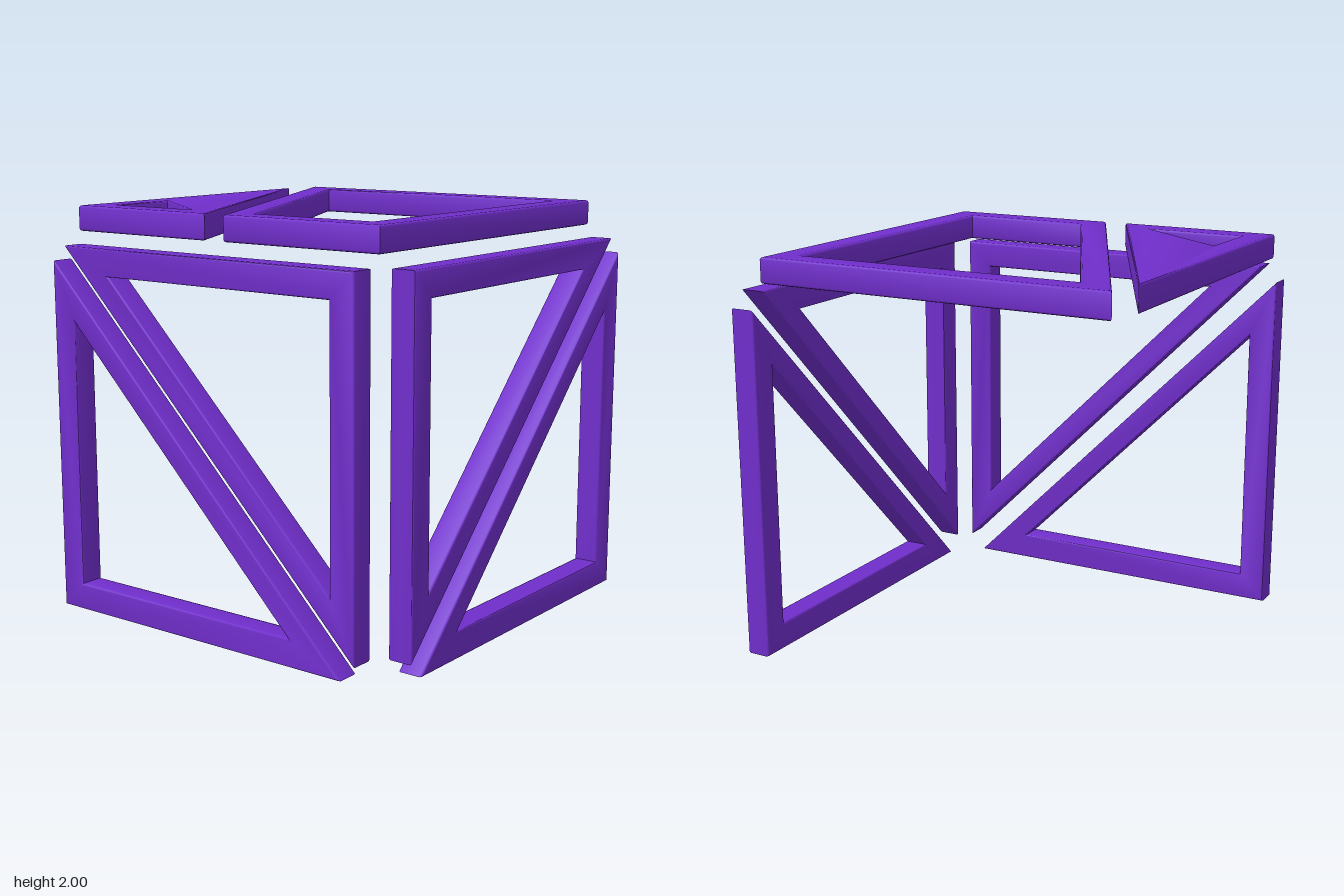
import * as THREE from 'three';
import { toCreasedNormals } from 'three/addons/utils/BufferGeometryUtils.js';

const DEPTH = 0.125;
const BEVEL = 0.012;

// Flat frame: outer outline with a hole, softly rounded edges, local z from 0 to DEPTH
function frameGeometry(outer, inner) {
  const toPoints = (list) => list.map(([x, y]) => new THREE.Vector2(x, y));
  const shape = new THREE.Shape(toPoints(outer));
  shape.holes.push(new THREE.Path(toPoints(inner)));
  const geometry = new THREE.ExtrudeGeometry(shape, {
    depth: DEPTH - 2 * BEVEL,
    bevelEnabled: true,
    bevelThickness: BEVEL,
    bevelSize: BEVEL,
    bevelOffset: -BEVEL,
    bevelSegments: 2,
  });
  geometry.translate(0, 0, BEVEL);
  return toCreasedNormals(geometry, 0.9);
}

export function createModel() {
  const model = new THREE.Group();
  model.name = 'openFrameCube';
  const purple = new THREE.MeshStandardMaterial({ color: 0x702ecb });
  purple.name = 'purple';

  // Right-angled triangles of the two upright panels
  const lower = frameGeometry(
    [[-1, 0.005], [0.74, 0.005], [-1, 1.745]],
    [[-0.865, 0.14], [0.45, 0.14], [-0.865, 1.455]]
  );
  const upper = frameGeometry(
    [[0.818, 0.085], [0.818, 1.822], [-0.92, 1.822]],
    [[0.685, 0.38], [0.685, 1.69], [-0.63, 1.69]]
  );
  // Slim triangle and trapezoid of the top panel (second value runs along z)
  const slim = frameGeometry(
    [[-1, -0.81], [-0.175, 0.818], [-1, 0.818]],
    [[-0.87, 0.33], [-0.38, 0.68], [-0.87, 0.68]].map(([x, z]) => [x, z])
  );
  const trapezoid = frameGeometry(
    [[-0.97, -1], [0.818, -1], [0.818, 0.818], [-0.06, 0.818]],
    [[-0.755, -0.865], [0.68, -0.865], [0.68, 0.68], [0.02, 0.68]]
  );

  const addPanel = (name, parts) => {
    const panel = new THREE.Group();
    panel.name = name;
    for (const [partName, geometry] of parts) {
      const mesh = new THREE.Mesh(geometry, purple);
      mesh.name = partName;
      panel.add(mesh);
    }
    model.add(panel);
    return panel;
  };

  const front = addPanel('frontPanel', [['frontLowerTriangle', lower], ['frontUpperTriangle', upper]]);
  front.position.z = 1 - DEPTH;

  // Same outlines turned so that local x runs along z
  const side = addPanel('leftPanel', [['leftLowerTriangle', lower], ['leftUpperTriangle', upper]]);
  side.rotation.y = -Math.PI / 2;
  side.position.x = 1;

  // Laid flat so that local y runs along z
  const top = addPanel('topPanel', [['topTriangle', slim], ['topTrapezoid', trapezoid]]);
  top.rotation.x = Math.PI / 2;
  top.position.y = 2;

  return model;
}
